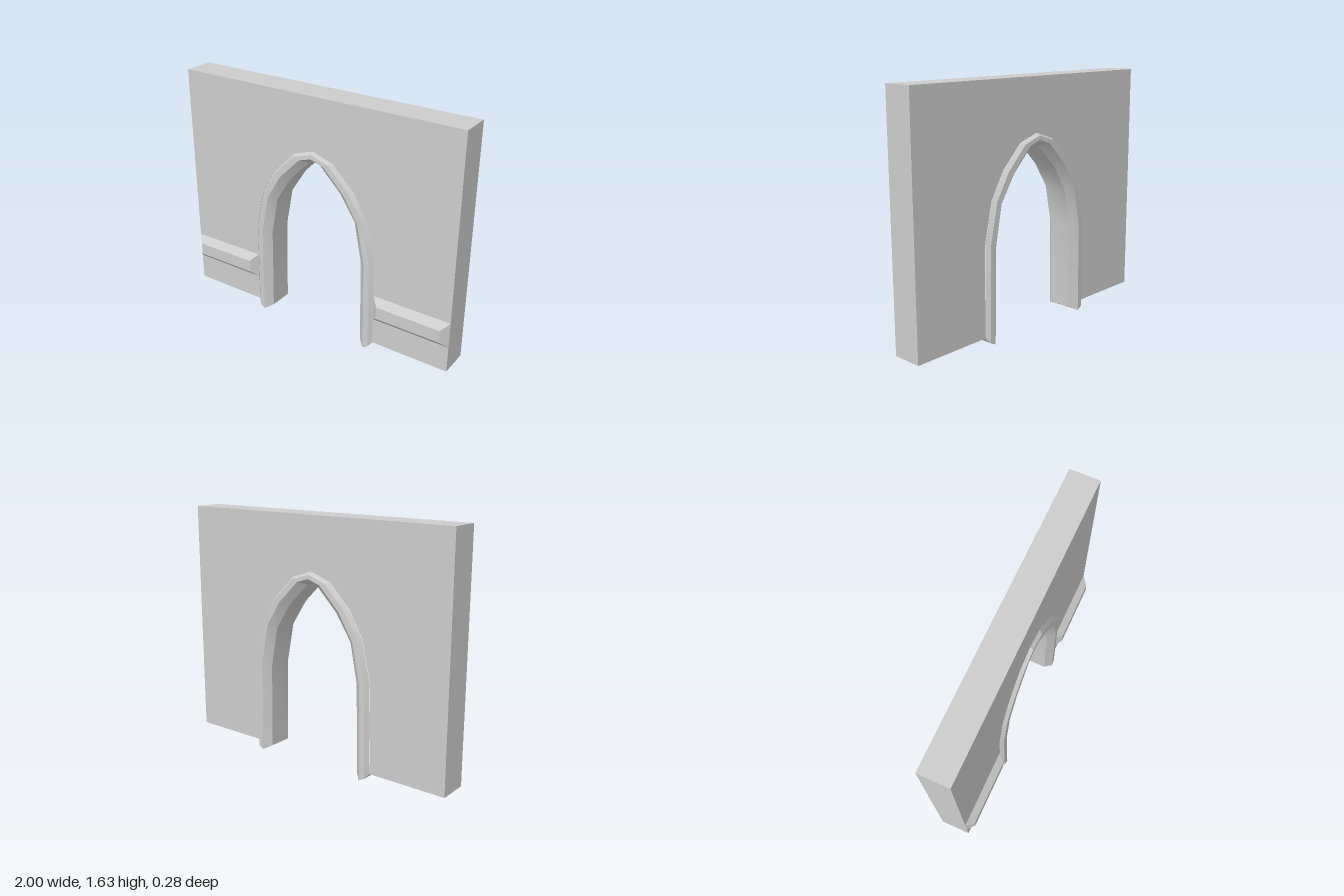
import * as THREE from 'three';
import { toCreasedNormals } from 'three/addons/utils/BufferGeometryUtils.js';

const FRONT = 0.09, BACK = -0.11, MID = -0.0125;

// Arch lines from the +x foot to the apex
const outerHalf = [[0.465, 0.05], [0.46, 0.64], [0.4, 0.91], [0.3, 1.08], [0.15, 1.23], [0, 1.28]];
const innerHalf = [[0.36, 0.02], [0.35, 0.61], [0.3, 0.87], [0.19, 1.04], [0.04, 1.19], [0, 1.2]];
const mirrored = (half) => [...half, ...half.slice(0, -1).reverse().map(([x, y]) => [-x, y])];
const outer = mirrored(outerHalf), inner = mirrored(innerHalf);

// Frame section: [fraction from outer to inner line, half depth, height of the foot]
const half = [[0, 0.1, 0.05], [0.2, 0.125, 0.02], [0.55, 0.1275, 0], [1, 0.0825, 0.025]];
const section = [...half, ...[...half].reverse().map(([t, d, y]) => [t, -d, y])];

function frameGeometry() {
  const last = outer.length - 1, n = section.length;
  const rings = outer.map(([ox, oy], i) => section.map(([t, d, footY]) => [
    ox + (inner[i][0] - ox) * t,
    i === 0 || i === last ? footY : oy + (inner[i][1] - oy) * t,
    MID + d,
  ]));
  const pos = [];
  const quad = (a, b, c, d) => pos.push(...a, ...b, ...c, ...a, ...c, ...d);
  for (let i = 0; i < last; i++) {
    for (let j = 0; j < n - 1; j++) {
      quad(rings[i][j], rings[i + 1][j], rings[i + 1][j + 1], rings[i][j + 1]);
    }
  }
  // Rounded undersides of both feet
  const r = rings[0], l = rings[last];
  for (let k = 0; k < n / 2 - 1; k++) {
    quad(r[k], r[k + 1], r[n - 2 - k], r[n - 1 - k]);
    quad(l[k], l[n - 1 - k], l[n - 2 - k], l[k + 1]);
  }
  const geo = new THREE.BufferGeometry();
  geo.setAttribute('position', new THREE.Float32BufferAttribute(pos, 3));
  return toCreasedNormals(geo, 0.4);
}

function wallGeometry() {
  const shape = new THREE.Shape();
  shape.moveTo(-1, 0.05);
  [...outer].reverse().forEach(([x, y]) => shape.lineTo(x, y));
  shape.lineTo(1, 0.05);
  shape.lineTo(1, 1.63);
  shape.lineTo(-1, 1.63);
  shape.closePath();
  return new THREE.ExtrudeGeometry(shape, { depth: FRONT - BACK, bevelEnabled: false }).translate(0, 0, BACK);
}

// Box whose front face is drawn in on all four sides
function mouldingGeometry() {
  const w = 0.535, h = 0.175, d = 0.045, inset = 0.045;
  const geo = new THREE.BoxGeometry(w, h, d).toNonIndexed();
  const p = geo.attributes.position;
  for (let i = 0; i < p.count; i++) {
    if (p.getZ(i) > 0) {
      p.setX(i, p.getX(i) - Math.sign(p.getX(i)) * inset);
      p.setY(i, p.getY(i) - Math.sign(p.getY(i)) * inset);
    }
  }
  geo.computeVertexNormals();
  return geo;
}

export function createModel() {
  const group = new THREE.Group();
  const material = new THREE.MeshStandardMaterial({ color: 0xcccccc });
  const add = (name, geometry) => {
    const mesh = new THREE.Mesh(geometry, material);
    mesh.name = name;
    group.add(mesh);
    return mesh;
  };
  add('wall', wallGeometry());
  add('archFrame', frameGeometry());
  // Bevelled mouldings on the front, either side of the arch
  for (const [name, side] of [['leftMoulding', 1], ['rightMoulding', -1]]) {
    add(name, mouldingGeometry()).position.set(side * 0.7325, 0.318, FRONT + 0.0225);
  }
  return group;
}
